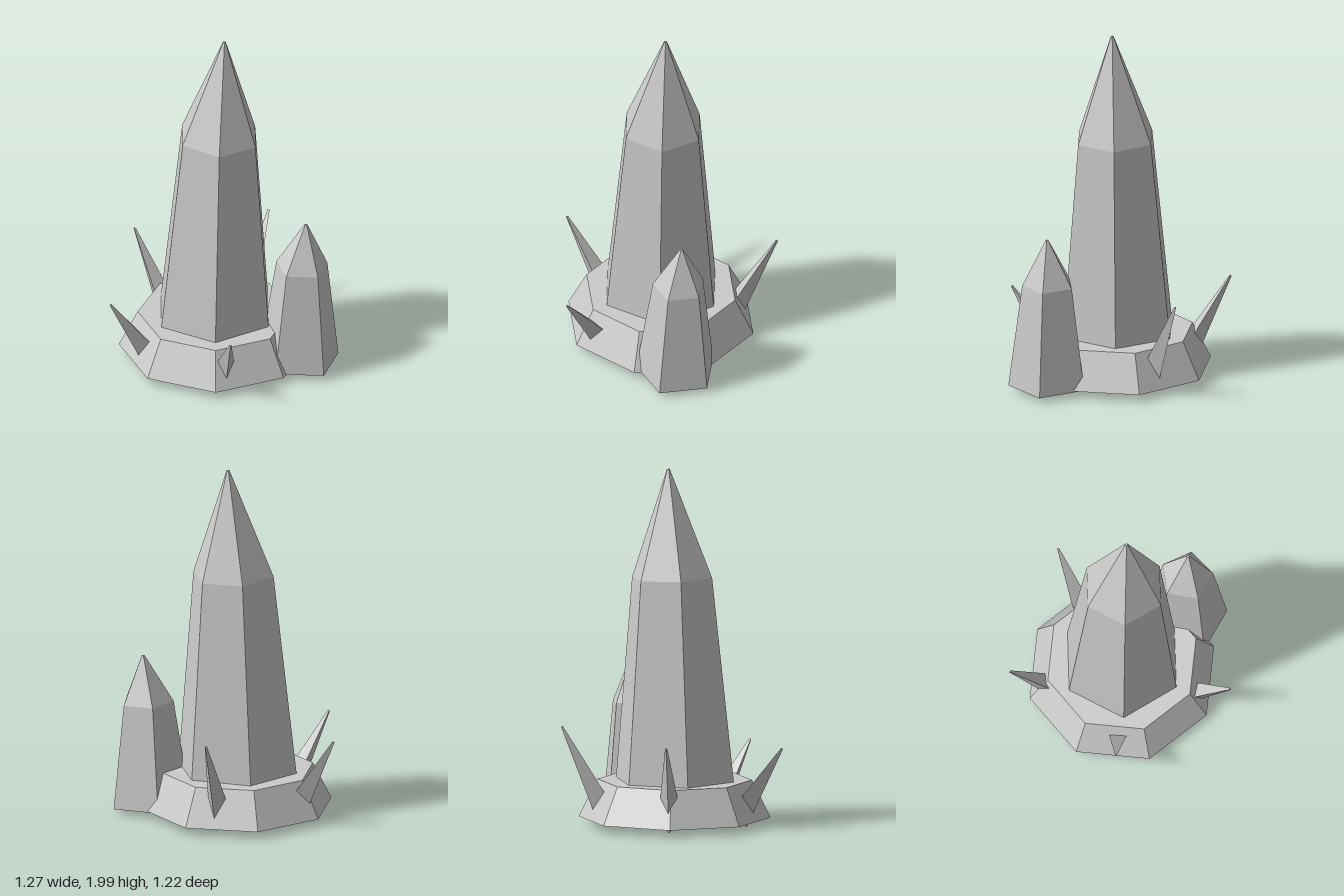
import * as THREE from 'three';

const material = new THREE.MeshStandardMaterial({ color: 0xcccccc, flatShading: true });

// Faceted column through rings of [centre x, centre y, centre z, radius], top ring first.
// lean tips each ring's plane down towards +x.
function faceted(name, sides, rings, turn = 0, lean = 0) {
  const n = rings.length - 1;
  const geo = new THREE.CylinderGeometry(1, 1, n, sides, n, false, turn).toNonIndexed();
  const p = geo.attributes.position;
  for (let i = 0; i < p.count; i++) {
    const [cx, cy, cz, r] = rings[Math.round(n / 2 - p.getY(i))];
    const x = p.getX(i) * r;
    p.setXYZ(i, cx + x, cy - x * lean, cz + p.getZ(i) * r);
  }
  geo.computeVertexNormals();
  const mesh = new THREE.Mesh(geo, material);
  mesh.name = name;
  return mesh;
}

export function createModel() {
  const model = new THREE.Group();
  model.name = 'crystalCluster';
  const cx = -0.05, cz = -0.035;

  // Octagonal rock base
  model.add(faceted('rockBase', 8, [[cx, 0.26, cz, 0.43], [cx, 0.05, cz, 0.535]]));

  // Tall hexagonal crystal with pointed tip
  model.add(faceted('mainCrystal', 6, [
    [0.003, 2.0, cz, 0.008],
    [-0.028, 1.393, cz, 0.234],
    [-0.054, 0.065, cz, 0.363],
  ], 0, 0.035));

  // Short pentagonal crystal at the edge of the base
  model.add(faceted('sideCrystal', 5, [
    [0.455, 0.905, 0.112, 0.008],
    [0.433, 0.637, 0.113, 0.149],
    [0.418, 0.046, 0.12, 0.229],
  ], Math.PI, 0.04));

  // Five three-sided shards leaning outwards, each taller than the last
  const rootRadius = 0.37, rootY = 0.06, tipRadius = 0.645;
  for (let i = 0; i < 5; i++) {
    const rise = 0.36 + i * 0.055 - rootY;
    const reach = tipRadius - rootRadius;
    const length = Math.hypot(rise, reach);
    const geo = new THREE.CylinderGeometry(0.007, 0.077, length, 3);
    geo.translate(0, length / 2, 0);
    const shard = new THREE.Mesh(geo, material);
    shard.position.set(0, rootY, rootRadius);
    shard.rotation.x = Math.atan2(reach, rise);

    const pivot = new THREE.Group();
    pivot.name = 'shard' + (i + 1);
    pivot.position.set(cx, 0, cz);
    pivot.rotation.y = Math.PI / 2 - THREE.MathUtils.degToRad(11 + i * 71.8);
    pivot.add(shard);
    model.add(pivot);
  }
  return model;
}
